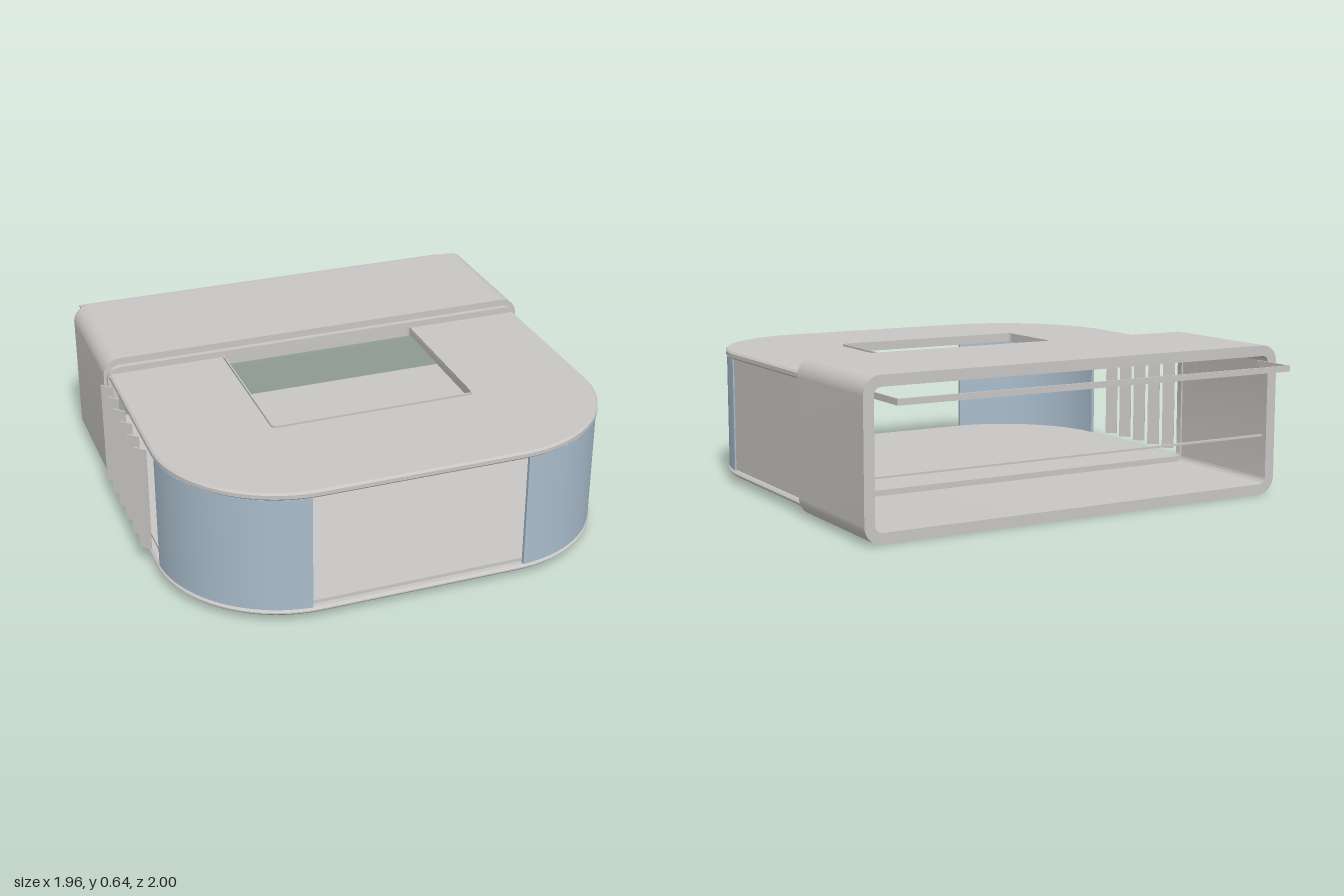
import * as THREE from 'three';
import { toCreasedNormals } from 'three/addons/utils/BufferGeometryUtils.js';

const CX = 0.01; // the body sits slightly off centre because the louvres project on one side

const stone = new THREE.MeshStandardMaterial({ color: 0xc8c6c4, side: THREE.DoubleSide });
stone.name = 'warm grey';
const glass = new THREE.MeshStandardMaterial({ color: 0xa9bccb, side: THREE.DoubleSide });
glass.name = 'pale blue';

function add(parent, name, geometry, material, x = 0, y = 0, z = 0) {
  const mesh = new THREE.Mesh(geometry, material);
  mesh.name = name;
  mesh.position.set(x, y, z);
  parent.add(mesh);
  return mesh;
}

function extrude(shape, depth, bevel = 0) {
  const g = new THREE.ExtrudeGeometry(shape, {
    depth: depth - 2 * bevel, curveSegments: 24, bevelEnabled: bevel > 0,
    bevelSize: bevel, bevelThickness: bevel, bevelOffset: -bevel, bevelSegments: 1,
  });
  g.translate(0, 0, bevel);
  return toCreasedNormals(g, 0.5);
}

// Horizontal slab: plan shape in (x, z), from height y0 to y1
function slab(shape, y0, y1, bevel) {
  return extrude(shape, y1 - y0, bevel).rotateX(Math.PI / 2).translate(0, y1, 0);
}

// Plan with a straight back and two large round front corners
function plan(inset, back) {
  const w = 0.95 - inset, r = 0.53 - inset, s = new THREE.Shape();
  s.moveTo(CX - w, back);
  s.lineTo(CX + w, back);
  s.lineTo(CX + w, 0.47);
  s.absarc(CX + w - r, 0.47, r, 0, Math.PI / 2, false);
  s.absarc(CX - w + r, 0.47, r, Math.PI / 2, Math.PI, false);
  s.closePath();
  return s;
}

function roundRect(x0, y0, x1, y1, r, target = new THREE.Shape()) {
  target.moveTo(x0 + r, y0);
  target.absarc(x1 - r, y0 + r, r, -Math.PI / 2, 0, false);
  target.absarc(x1 - r, y1 - r, r, 0, Math.PI / 2, false);
  target.absarc(x0 + r, y1 - r, r, Math.PI / 2, Math.PI, false);
  target.absarc(x0 + r, y0 + r, r, Math.PI, Math.PI * 1.5, false);
  return target;
}

// Rectangular ring with rounded corners
function ring(x0, y0, x1, y1, r, t) {
  const s = roundRect(x0, y0, x1, y1, r);
  s.holes.push(roundRect(x0 + t, y0 + t, x1 - t, y1 - t, Math.max(r - t, 0.01), new THREE.Path()));
  return s;
}

export function createModel() {
  const model = new THREE.Group();
  model.name = 'pavilion';

  // Floor with a thin raised deck
  add(model, 'floor', slab(plan(0, -0.25), 0.03, 0.055, 0.01), stone);
  add(model, 'deck', slab(plan(0.03, -0.25), 0.054, 0.07), stone);

  // Roof with a rectangular skylight opening and its thin rim
  const roofPlan = plan(0, -0.25);
  roofPlan.holes.push(roundRect(-0.43, -0.225, 0.44, 0.47, 0.015, new THREE.Path()));
  add(model, 'roof', slab(roofPlan, 0.55, 0.582, 0.008), stone);
  add(model, 'skylightRim', slab(ring(-0.436, -0.225, 0.446, 0.476, 0.02, 0.006), 0.55, 0.59), stone);

  // Curved glazed front corners
  for (const side of [-1, 1]) {
    const s = new THREE.Shape();
    s.absarc(0, 0, 0.525, 0.07, Math.PI / 2 - 0.05, false);
    s.absarc(0, 0, 0.51, Math.PI / 2 - 0.05, 0.07, true);
    s.closePath();
    const g = slab(s, 0.055, 0.551);
    if (side < 0) g.rotateY(-Math.PI / 2);
    add(model, side < 0 ? 'rightCurvedWall' : 'leftCurvedWall', g, glass, CX + side * 0.42, 0, 0.47);
  }

  // Solid wall on the left side
  add(model, 'leftWall', new THREE.BoxGeometry(0.015, 0.49, 0.74), stone, 0.943, 0.305, 0.13);

  // Angled louvres on the right side
  const louvres = new THREE.Group();
  louvres.name = 'louvres';
  model.add(louvres);
  for (let i = 0; i < 6; i++) {
    const fin = add(louvres, 'louvre', new THREE.BoxGeometry(0.055, 0.465, 0.006), stone,
      -0.96, 0.308, -0.2 + i * 0.116);
    fin.rotation.y = -Math.PI / 4;
  }

  // Rear sleeve and the stepped collar joining it to the body
  add(model, 'rearSleeve', extrude(ring(-0.96, 0, 0.98, 0.64, 0.075, 0.045), 0.595), stone, 0, 0, -0.84);
  add(model, 'collar', extrude(ring(-0.948, 0.028, 0.968, 0.61, 0.06, 0.04), 0.03), stone, 0, 0, -0.25);

  // Low guard rail across the rear opening
  add(model, 'guardRail', new THREE.BoxGeometry(1.86, 0.008, 0.012), stone, CX, 0.25, -0.81);

  // Thin awning frame projecting from the rear
  const awning = new THREE.Group();
  awning.name = 'awningFrame';
  model.add(awning);
  add(awning, 'awningBar', new THREE.BoxGeometry(1.82, 0.025, 0.008), stone, CX, 0.56, -0.996);
  for (const side of [-1, 1]) {
    add(awning, 'awningArm', new THREE.BoxGeometry(0.008, 0.025, 0.2), stone, CX + side * 0.906, 0.56, -0.896);
  }
  return model;
}
